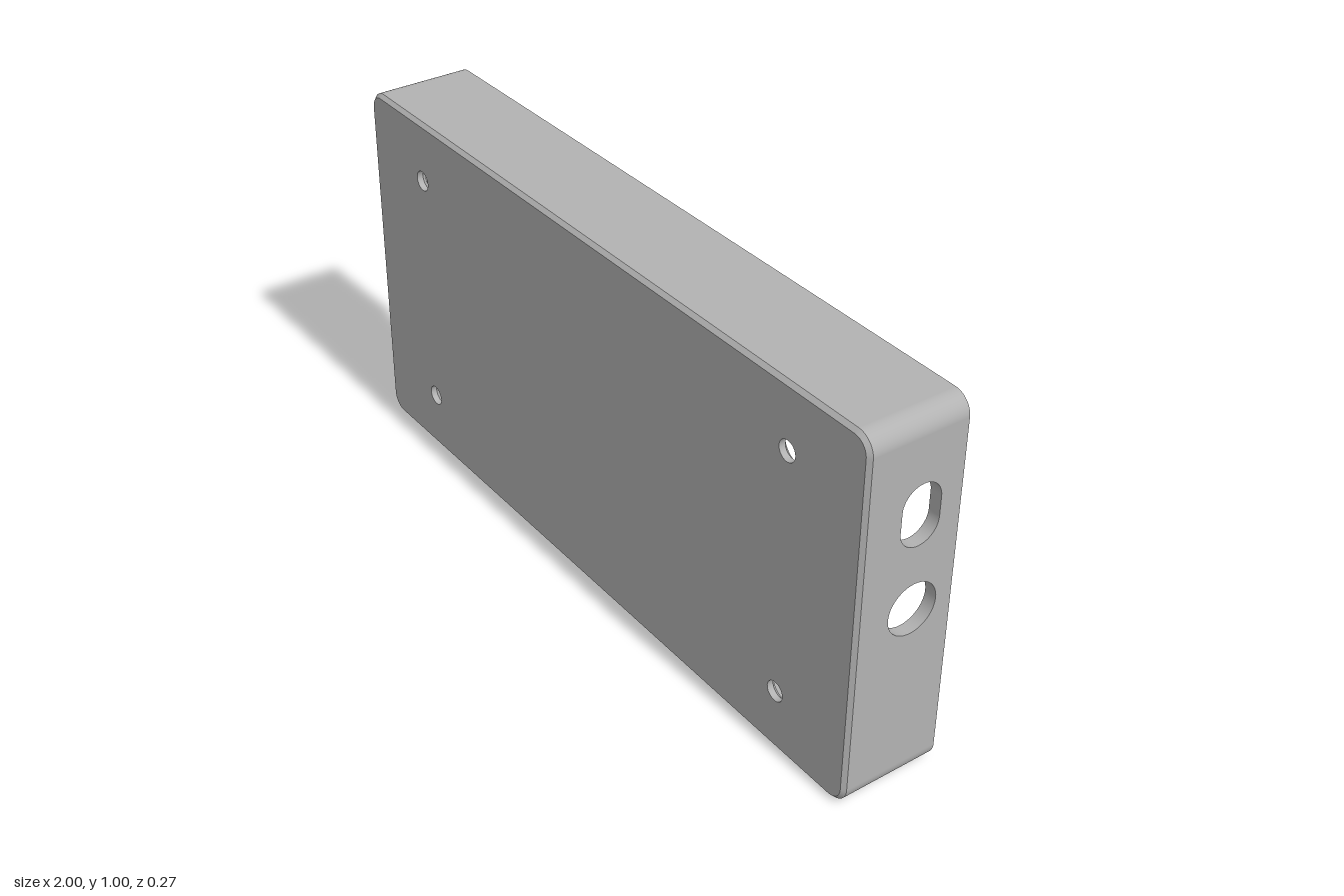
import * as THREE from 'three';

const BACK = -0.135, FRONT = 0.135, FLOOR = 0.1, CHAMFER = 0.01;
const HOLE_Z = -0.023;
const plastic = new THREE.MeshStandardMaterial({ color: 0xb2b2b2, side: THREE.DoubleSide });
plastic.name = 'grey plastic';

// Contour points carry a normal: x, y, nx, ny
const pt = (x, y, nx, ny) => ({ x, y, nx, ny });
function arc(cx, cy, r, a0, a1, sign, steps = 16) {
  return Array.from({ length: steps + 1 }, (_, i) => {
    const a = a0 + (a1 - a0) * i / steps, c = Math.cos(a), s = Math.sin(a);
    return pt(cx + r * c, cy + r * s, sign * c, sign * s);
  });
}

// Mirror one quarter (from mid left to mid bottom) into a counter-clockwise loop
function fullLoop(q) {
  const m = (sx, sy) => q.map(p => pt(p.x * sx, p.y * sy, p.nx * sx, p.ny * sy));
  return [...q, ...m(-1, 1).reverse().slice(1), ...m(-1, -1).slice(1), ...m(1, -1).reverse().slice(1)];
}

// Heights at which an opening with rounded ends needs contour points
function stops(centre, half, r) {
  const out = [];
  for (let k = 0; k <= 12; k++) {
    const d = half - r + r * Math.sin(k / 12 * Math.PI / 2);
    out.push(centre + d, centre - d);
  }
  return [...new Set(out)].sort((a, b) => a - b);
}
const slotYs = stops(0.25, 0.08, 0.054);
const roundYs = stops(0, 0.068, 0.068);
const notchYs = stops(0, 0.1, 0.03);
const allYs = [...slotYs, ...roundYs, ...notchYs, 0.1001, -0.1001];

// Add those points where the contour runs along the end walls
function refine(c) {
  const out = [c[0]];
  for (let i = 1; i < c.length; i++) {
    const a = c[i - 1], b = c[i];
    if (Math.abs(a.x) > 0.85 && Math.abs(b.x) > 0.85) {
      const dir = Math.sign(b.y - a.y);
      allYs.filter(y => (y - a.y) * (y - b.y) < 0).sort((p, q) => (p - q) * dir).forEach(y => {
        const t = (y - a.y) / (b.y - a.y), f = k => a[k] + (b[k] - a[k]) * t;
        out.push(pt(f('x'), y, f('nx'), f('ny')));
      });
    }
    out.push(b);
  }
  return out;
}

// Depth range left open in the wall at a contour point
function gap(p) {
  const span = (d, half, r) => {
    const t = Math.max(0, Math.abs(d) - (half - r));
    return Math.sqrt(Math.max(0, r * r - t * t));
  };
  let h = 0;
  if (p.x > 0.85) {
    if (Math.abs(p.y - 0.25) <= 0.0801) h = span(p.y - 0.25, 0.08, 0.054);
    else if (Math.abs(p.y) <= 0.0681) h = span(p.y, 0.068, 0.068);
  } else if (p.x < -0.85 && Math.abs(p.y) < 0.10005) {
    return [BACK, -0.065 + span(p.y, 0.1, 0.03)];
  }
  return [HOLE_Z - h, HOLE_Z + h];
}

// Skin a contour through rows; a row maps a point to [offset, z, side normal, z normal]
function loft(c, rows, flip = false) {
  const pos = [], nor = [], idx = [], n = c.length;
  rows.forEach(row => c.forEach(p => {
    const [d, z, a, b] = row(p);
    pos.push(p.x + p.nx * d, p.y + p.ny * d, z);
    nor.push(p.nx * a, p.ny * a, b);
  }));
  for (let r = 0; r < rows.length - 1; r++) for (let i = 0; i < n - 1; i++) {
    const a = r * n + i, b = a + 1, e = a + n, f = e + 1;
    if (flip) idx.push(a, f, b, a, e, f);
    else idx.push(a, b, f, a, f, e);
  }
  const g = new THREE.BufferGeometry();
  g.setAttribute('position', new THREE.Float32BufferAttribute(pos, 3));
  g.setAttribute('normal', new THREE.Float32BufferAttribute(nor, 3));
  g.setIndex(idx);
  return g;
}
const level = z => () => [0, z, 1, 0];
const filletRows = r => Array.from({ length: 9 }, (_, i) => {
  const a = i / 8 * Math.PI / 2;
  return () => [r * (1 - Math.cos(a)), FLOOR - r + r * Math.sin(a), Math.cos(a), -Math.sin(a)];
});

// Flat face at depth z, facing front or back
function face(points, holes, z, back) {
  const s = new THREE.Shape(points.map(p => new THREE.Vector2(p.x, p.y)));
  holes.forEach(([x, y, r]) => s.holes.push(new THREE.Path().absarc(x, y, r, 0, Math.PI * 2, true)));
  const g = new THREE.ShapeGeometry(s, 16);
  if (back) {
    g.index.array.reverse();
    for (let i = 0; i < g.attributes.normal.count; i++) g.attributes.normal.setZ(i, -1);
  }
  return g.translate(0, 0, z);
}
const offset = (c, d) => c.map(p => ({ x: p.x + p.nx * d, y: p.y + p.ny * d }));

// Open bore between two depths
function bore(x, y, rBack, rFront, zBack, zFront) {
  return new THREE.CylinderGeometry(rFront, rBack, zFront - zBack, 32, 1, true)
    .rotateX(Math.PI / 2).translate(x, y, (zBack + zFront) / 2);
}

export function createModel() {
  const model = new THREE.Group();
  const body = new THREE.Group();
  body.name = 'enclosure';
  body.position.y = 0.5;
  model.add(body);
  const add = (name, g) => {
    const m = new THREE.Mesh(g, plastic);
    m.name = name;
    body.add(m);
  };
  const corners = (x, y) => [[x, y], [-x, y], [x, -y], [-x, -y]];

  // Outer and inner outlines; the inner one wraps the corner screw posts
  const outer = refine(fullLoop([pt(-1, 0, -1, 0),
    ...arc(-0.95, -0.45, 0.05, Math.PI, Math.PI * 1.5, 1), pt(0, -0.5, 0, -1)]));
  const tilt = Math.atan2(0.016, 0.149), H = Math.PI / 2;
  const inner = refine(fullLoop([pt(-0.967, 0, 1, 0),
    ...arc(-0.907, -0.274, 0.06, 2 * H, 3 * H - tilt, -1),
    ...arc(-0.923, -0.423, 0.09, H - tilt, tilt, 1).slice(1),
    ...arc(-0.774, -0.407, 0.06, 2 * H + tilt, 3 * H, -1).slice(1),
    pt(0, -0.467, 0, 1)]));

  // Walls, above and below the openings
  const low = p => [0, gap(p)[0], 1, 0], high = p => [0, gap(p)[1], 1, 0];
  add('outerWallBack', loft(outer, [level(BACK), low]));
  add('outerWallFront', loft(outer, [high, level(FRONT - CHAMFER)]));
  add('frontChamfer', loft(outer, [() => [0, FRONT - CHAMFER, 0.71, 0.71], () => [-CHAMFER, FRONT, 0.71, 0.71]]));
  add('innerWallBack', loft(inner, [level(BACK), low], true));
  add('innerWallFront', loft(inner, [high, ...filletRows(0.05)], true));

  // Rim, broken by the notch
  const keep = c => c.filter(p => p.x > -0.9 || Math.abs(p.y) > 0.10005);
  const screws = corners(0.923, 0.423), mounts = corners(0.75, 0.333);
  add('rim', face([...keep(outer), ...keep(inner).reverse()], screws.map(s => [...s, 0.043]), BACK, true));

  // Floor plate with countersunk mounting holes
  add('frontFace', face(offset(outer, -CHAMFER), mounts.map(s => [...s, 0.027]), FRONT, false));
  add('floor', face(offset(inner, 0.05), mounts.map(s => [...s, 0.05]), FLOOR, true));
  mounts.forEach(([x, y]) => {
    add('mountingHole', bore(x, y, 0.027, 0.027, 0.118, FRONT));
    add('countersink', bore(x, y, 0.05, 0.027, FLOOR, 0.118));
  });

  // Blind screw holes in the corner posts
  screws.forEach(([x, y]) => {
    add('screwHole', bore(x, y, 0.043, 0.043, BACK, 0.065));
    add('screwHoleEnd', new THREE.CircleGeometry(0.043, 32).rotateY(Math.PI).translate(x, y, 0.065));
  });

  // Edges of the openings through the end walls
  const innerX = (side, y) => inner.filter(p => p.x * side > 0.85)
    .reduce((a, b) => Math.abs(b.y - y) < Math.abs(a.y - y) ? b : a).x;
  const lining = (name, side, path) => {
    const pos = [], idx = [];
    path.forEach(([y, z], i) => {
      pos.push(side, y, z, innerX(side, y), y, z);
      if (i) idx.push(2 * i - 2, 2 * i - 1, 2 * i, 2 * i - 1, 2 * i + 1, 2 * i);
    });
    const g = new THREE.BufferGeometry();
    g.setAttribute('position', new THREE.Float32BufferAttribute(pos, 3));
    g.setIndex(idx);
    g.computeVertexNormals();
    add(name, g);
  };
  const edge = (side, ys, k) => ys.map(y => [y, gap({ x: side, y })[k]]);
  lining('slotEdge', 1, [...edge(1, slotYs, 0), ...edge(1, slotYs, 1).reverse()]);
  lining('cableHoleEdge', 1, [...edge(1, roundYs, 0), ...edge(1, roundYs, 1).reverse()]);
  lining('notchEdge', -1, [[-0.1, BACK], ...edge(-1, notchYs, 1), [0.1, BACK]]);

  // Two grooved board rails rising from the floor
  const TOP = 0.007, END = -0.14, W = 0.05, R = 0.015;
  [0.22, -0.22].forEach(y => {
    const rail = [pt(-0.967, y - W, 0, -1), ...arc(END - R, y - W + R, R, -H, 0, 1, 8),
      ...arc(END - R, y + W - R, R, 0, H, 1, 8), pt(-0.967, y + W, 0, 1)];
    add('railSide', loft(rail, [level(TOP), ...filletRows(0.035)]));
    const x0 = -0.966, x1 = END - 0.025, g = 0.011;
    const groove = [pt(x0, y - g, 0, 1), pt(x1, y - g, 0, 1), pt(x1, y - g, -1, 0),
      pt(x1, y + g, -1, 0), pt(x1, y + g, 0, -1), pt(x0, y + g, 0, -1)];
    add('railTop', face([...rail, ...groove.slice().reverse()], [], TOP, true));
    add('grooveSide', loft(groove, [level(TOP), level(0.05)], true));
    add('grooveBottom', face(groove, [], 0.05, true));
  });
  return model;
}
